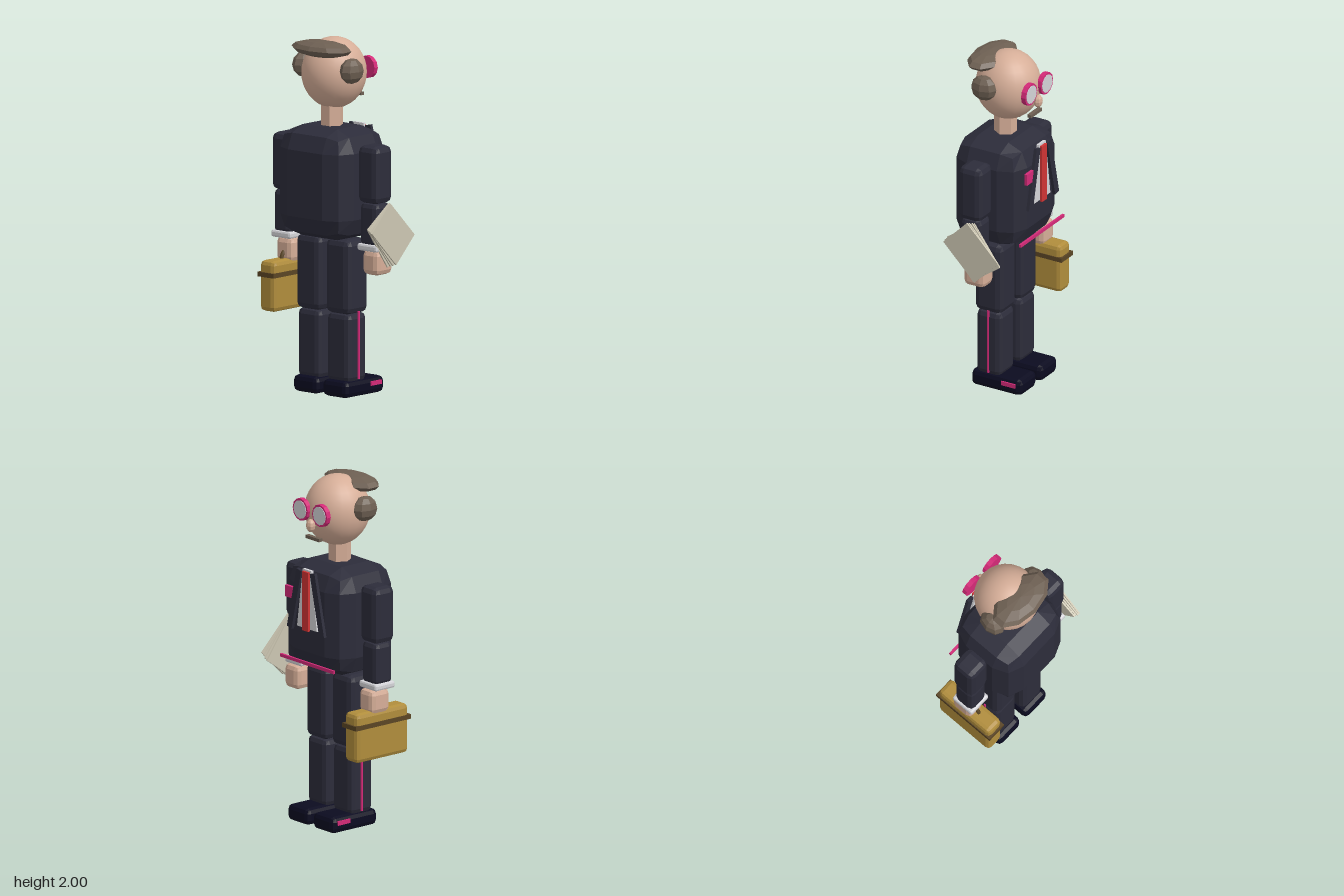
import * as THREE from 'three';
import { RoundedBoxGeometry } from 'three/addons/geometries/RoundedBoxGeometry.js';

const mat = (name, color) => {
  const m = new THREE.MeshStandardMaterial({ color });
  m.name = name;
  return m;
};

export function createModel() {
  const suit = mat('navy suit', 0x2c2c3a), shoeMat = mat('shoe black', 0x0b0b20);
  const skin = mat('skin', 0xd6ae98), hair = mat('brown hair', 0x6e6053);
  const pink = mat('pink trim', 0xd42a78), red = mat('tie red', 0xd03434);
  const white = mat('shirt white', 0xd4d4d8), paper = mat('paper', 0xccc6b2);
  const tan = mat('case tan', 0xb08d3c), brown = mat('case trim', 0x5a4524);

  // The figure faces +x and is mirrored across z
  const figure = new THREE.Group();
  figure.name = 'figure';
  figure.position.set(-0.016, 0, -0.017);

  const add = (name, geo, material, x, y, z) => {
    const m = new THREE.Mesh(geo, material);
    m.name = name;
    m.position.set(x, y, z);
    figure.add(m);
    return m;
  };
  const flat = (geo) => {
    const g = geo.index ? geo.toNonIndexed() : geo;
    g.computeVertexNormals();
    return g;
  };
  const box = (w, h, d) => new THREE.BoxGeometry(w, h, d);
  const rounded = (w, h, d, r) => flat(new RoundedBoxGeometry(w, h, d, 1, r));
  const blob = (rx, ry, rz, ws, hs) => flat(new THREE.SphereGeometry(1, ws, hs).scale(rx, ry, rz));

  // Head and neck
  add('head', new THREE.SphereGeometry(1, 24, 18).scale(0.184, 0.2, 0.18), skin, 0.018, 1.8, 0);
  add('neck', flat(new THREE.CylinderGeometry(0.0635, 0.0635, 0.16, 6)), skin, 0, 1.56, 0);
  add('nose', blob(0.025, 0.038, 0.028, 8, 6), skin, 0.211, 1.74, 0);
  add('mouth', box(0.025, 0.018, 0.115), hair, 0.188, 1.663, 0);
  add('hairCap', blob(0.112, 0.046, 0.202, 10, 6), hair, -0.086, 1.945, 0);

  // Torso, belt line and shirt front
  add('torso', rounded(0.444, 0.623, 0.505, 0.125), suit, -0.002, 1.196, 0);
  add('beltLine', box(0.013, 0.018, 0.458), pink, 0.233, 0.948, 0);
  const shirtShape = new THREE.Shape([[-0.085, 1.15], [0.085, 1.15], [0.036, 1.49], [-0.036, 1.49]]
    .map(([x, y]) => new THREE.Vector2(x, y)));
  const shirtGeo = new THREE.ExtrudeGeometry(shirtShape, { depth: 0.016, bevelEnabled: false });
  add('shirt', shirtGeo.rotateY(Math.PI / 2), white, 0.222, 0, 0);
  add('tie', box(0.014, 0.34, 0.052), red, 0.246, 1.31, 0);
  add('pocketSquare', box(0.018, 0.066, 0.072), pink, 0.238, 1.333, 0.14);

  for (const s of [1, -1]) {
    const side = s > 0 ? 'right' : 'left';
    // Glasses
    const disc = (r, h) => flat(new THREE.CylinderGeometry(r, r, h, 12).rotateZ(-Math.PI / 2));
    add(side + 'GlassesRim', disc(0.064, 0.028), pink, 0.203, 1.815, s * 0.083);
    add(side + 'Lens', disc(0.053, 0.006), white, 0.217, 1.815, s * 0.083);
    add(side + 'SideHair', blob(0.08, 0.072, 0.056, 8, 6), hair, -0.033, 1.832, s * 0.176);
    // Lapel
    add(side + 'Lapel', box(0.018, 0.36, 0.042), suit, 0.24, 1.305, s * 0.098).rotation.x = -s * 0.23;
    // Arm
    add(side + 'UpperArm', rounded(0.145, 0.325, 0.145, 0.035), suit, 0, 1.268, s * 0.32);
    add(side + 'Forearm', rounded(0.127, 0.25, 0.127, 0.03), suit, 0, 0.987, s * 0.32);
    add(side + 'Cuff', rounded(0.144, 0.04, 0.144, 0.012), white, 0, 0.86, s * 0.32);
    add(side + 'Hand', rounded(0.135, 0.14, 0.118, 0.03), skin, 0.02, 0.772, s * 0.32);
    // Leg
    add(side + 'Thigh', rounded(0.175, 0.42, 0.176, 0.035), suit, 0, 0.675, s * 0.109);
    add(side + 'Shin', rounded(0.16, 0.39, 0.165, 0.032), suit, 0, 0.275, s * 0.109);
    add(side + 'TrouserStripe', box(0.011, 0.38, 0.009), pink, 0.005, 0.29, s * 0.195);
    add(side + 'Shoe', rounded(0.325, 0.095, 0.18, 0.028), shoeMat, 0.055, 0.0475, s * 0.109);
    add(side + 'ShoeTag', box(0.09, 0.024, 0.009), pink, 0.141, 0.062, s * 0.202);
  }

  // Briefcase
  add('briefcase', rounded(0.376, 0.285, 0.11, 0.025), tan, 0.004, 0.583, -0.32);
  add('briefcaseTrim', box(0.397, 0.026, 0.119), brown, 0.004, 0.648, -0.32);
  add('briefcaseHandle', new THREE.TorusGeometry(0.066, 0.011, 6, 10, Math.PI), brown, 0.004, 0.715, -0.32);

  // Fanned sheets of paper
  for (let i = 0; i < 4; i++) {
    const sheet = add('sheet' + (i + 1), box(0.215, 0.285, 0.009), paper,
      0.03 + 0.003 * (i % 2), 0.925 + 0.004 * i, 0.388 + 0.0113 * i);
    sheet.rotation.z = 0.62 + 0.055 * i;
  }

  const model = new THREE.Group();
  model.name = 'businessman';
  model.add(figure);
  return model;
}
